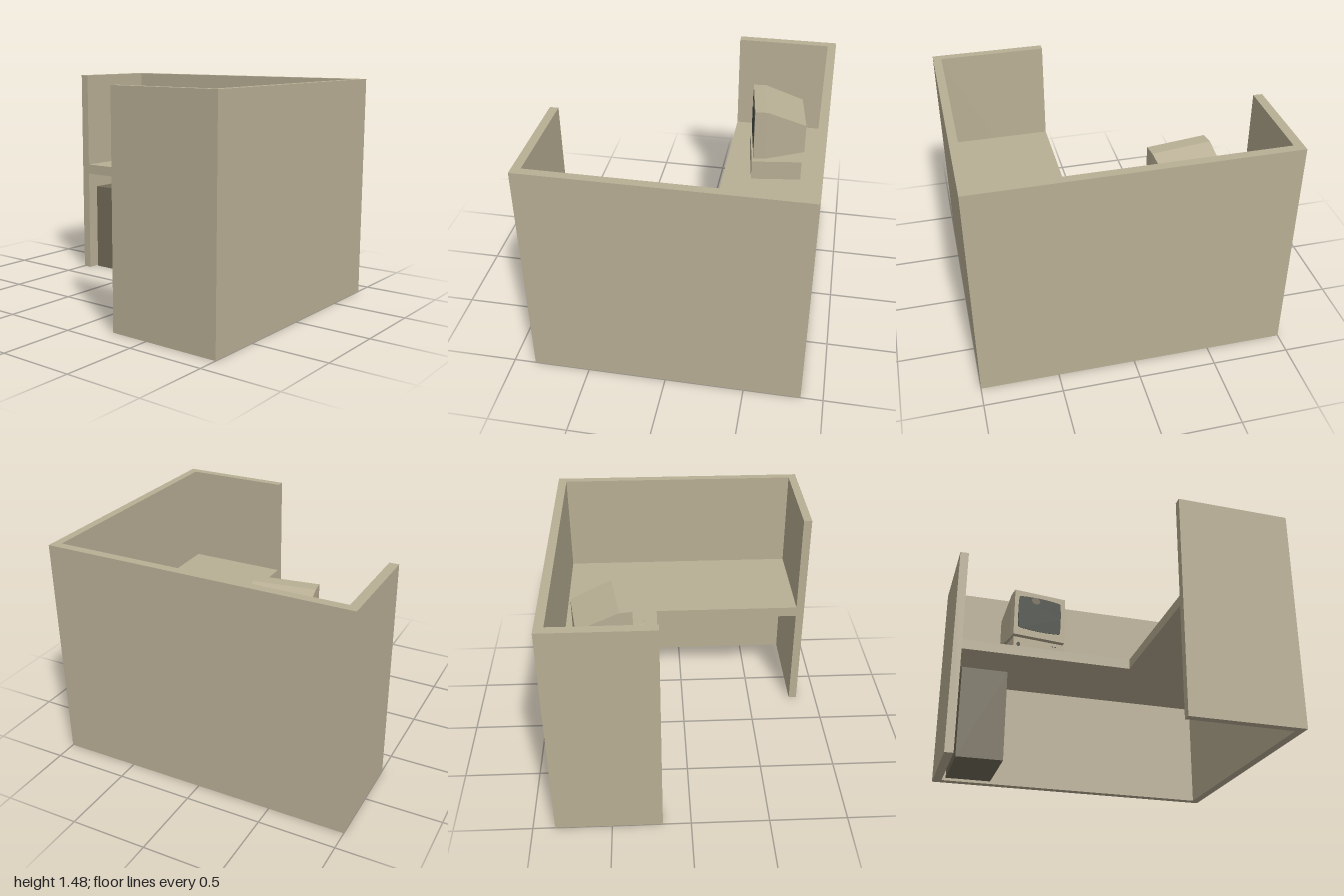
import * as THREE from 'three';

const mat = (name, color) => {
  const m = new THREE.MeshStandardMaterial({ color });
  m.name = name;
  return m;
};

export function createModel() {
  const beige = mat('beige panel', 0xb9af95);
  const dark = mat('dark cabinet', 0x746d5a);
  const glass = mat('screen glass', 0x484c44);
  const root = new THREE.Group();
  root.name = 'officeCubicle';

  const add = (parent, name, geometry, material, x = 0, y = 0, z = 0) => {
    const mesh = new THREE.Mesh(geometry, material);
    mesh.name = name;
    mesh.position.set(x, y, z);
    parent.add(mesh);
    return mesh;
  };

  // Upright prism from a floor plan of [x, z] points
  const slab = (plan, height) => {
    const shape = new THREE.Shape(plan.map(([x, z]) => new THREE.Vector2(x, -z)));
    return new THREE.ExtrudeGeometry(shape, { depth: height, bevelEnabled: false }).rotateX(-Math.PI / 2);
  };

  // Partition walls, open at the front left corner
  add(root, 'partitionWalls', slab([
    [-1, -0.86], [1, -0.86], [1, 0.86], [0.245, 0.86], [0.245, 0.805],
    [0.945, 0.805], [0.945, -0.803], [-0.94, -0.803], [-0.94, -0.18], [-1, -0.18],
  ], 1.48), beige);

  // L-shaped desk top between the walls
  add(root, 'deskTop', slab([
    [-0.94, -0.803], [0.945, -0.803], [0.945, 0.805], [0.245, 0.805], [0.245, -0.18], [-0.94, -0.18],
  ], 0.07), beige, 0, 0.735, 0);

  // Cabinet under the desk
  add(root, 'cabinet', new THREE.BoxGeometry(0.31, 0.63, 0.495), dark, -0.765, 0.315, -0.4925);

  // Computer, turned slightly on the desk
  const computer = new THREE.Group();
  computer.name = 'computer';
  computer.position.set(-0.398, 0, -0.515);
  computer.rotation.y = 0.141;
  root.add(computer);
  add(computer, 'computerCase', new THREE.BoxGeometry(0.389, 0.14, 0.338), beige, 0, 0.875, 0);
  add(computer, 'monitorFrame', new THREE.BoxGeometry(0.389, 0.355, 0.08), beige, 0, 1.1475, 0.12);

  // Monitor back, narrowing to the rear
  const back = new THREE.BoxGeometry(0.389, 0.355, 0.262);
  const p = back.attributes.position;
  for (let i = 0; i < p.count; i++) {
    if (p.getZ(i) < 0) {
      p.setX(i, Math.sign(p.getX(i)) * 0.182);
      p.setY(i, p.getY(i) > 0 ? 0.075 : -0.1275);
    }
  }
  back.computeVertexNormals();
  add(computer, 'monitorBack', back, beige, 0, 1.1475, -0.051);

  // Screen plate with softly bowed sides
  const w = 0.164, h = 0.135, k = 0.022;
  const s = new THREE.Shape();
  s.moveTo(-w + k, -h + 0.008);
  s.quadraticCurveTo(0, -h - 0.008, w - k, -h + 0.008);
  s.quadraticCurveTo(w - 0.004, -h + 0.01, w - 0.004, -h + k);
  s.quadraticCurveTo(w + 0.004, 0, w - 0.004, h - k);
  s.quadraticCurveTo(w - 0.004, h - 0.01, w - k, h - 0.008);
  s.quadraticCurveTo(0, h + 0.008, -w + k, h - 0.008);
  s.quadraticCurveTo(-w + 0.004, h - 0.01, -w + 0.004, h - k);
  s.quadraticCurveTo(-w - 0.004, 0, -w + 0.004, -h + k);
  s.quadraticCurveTo(-w + 0.004, -h + 0.01, -w + k, -h + 0.008);
  add(computer, 'screen', new THREE.ExtrudeGeometry(s, { depth: 0.004, bevelEnabled: false }),
    glass, -0.002, 1.155, 0.159);

  // Small round plates: screen patch, power button and indicator lights
  const disc = (name, material, u, y, z, rx, ry) => {
    const g = new THREE.CylinderGeometry(1, 1, 0.004, 20).rotateX(Math.PI / 2).scale(rx, ry, 1);
    add(computer, name, g, material, u, y, z);
  };
  disc('screenPatch', dark, -0.035, 1.263, 0.1625, 0.033, 0.026);
  disc('powerButton', glass, -0.158, 0.89, 0.1695, 0.012, 0.017);
  for (const u of [0.1, 0.122]) disc('indicatorLight', glass, u, 0.918, 0.1695, 0.005, 0.004);

  // Mouse: flat at the back, rounded at the front
  const m = new THREE.Shape();
  m.moveTo(-0.026, 0.058);
  m.lineTo(0.026, 0.058);
  m.lineTo(0.032, 0.046);
  m.lineTo(0.032, -0.03);
  m.absarc(0, -0.03, 0.032, 0, -Math.PI, true);
  m.lineTo(-0.032, 0.046);
  const mouse = new THREE.ExtrudeGeometry(m, {
    depth: 0.01, bevelThickness: 0.009, bevelSize: 0.01, bevelSegments: 4, curveSegments: 16,
  }).rotateX(-Math.PI / 2);
  add(root, 'mouse', mouse, beige, 0.06, 0.816, -0.333).rotation.y = 0.15;

  return root;
}
